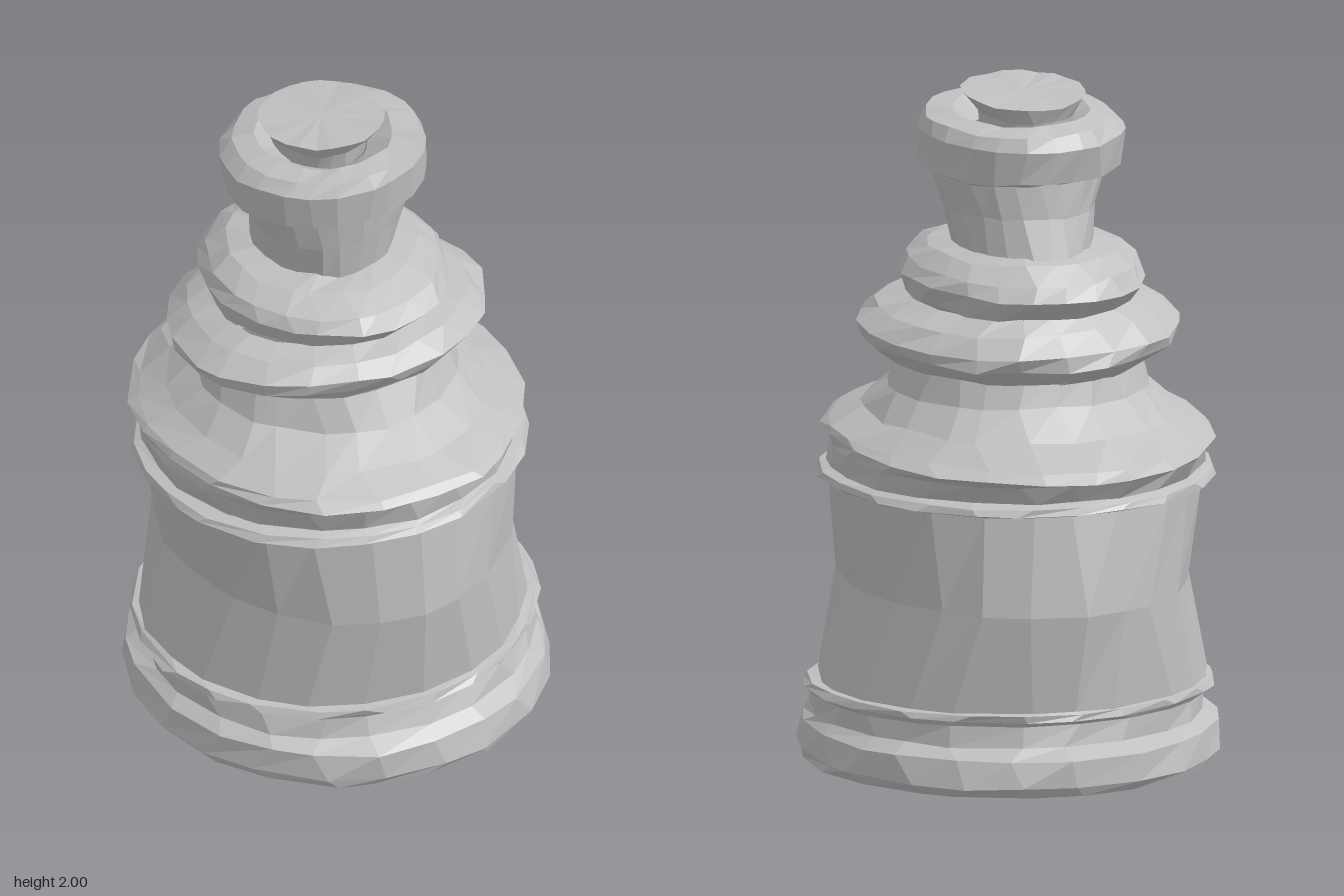
import * as THREE from 'three';

const SIDES = 22;
const stone = new THREE.MeshStandardMaterial({ color: 0xc0c0c0, flatShading: true });
stone.name = 'grey stone';

// repeatable noise in -1..1
const noise = (a, b) => {
  const s = Math.sin(a * 127.1 + b * 311.7) * 43758.5453;
  return 2 * (s - Math.floor(s)) - 1;
};

// Loft through uneven oval rings: [y, left x, right x, back z, front z, forward rise]
function loft(name, rings, rough, capBottom, capTop) {
  const pos = [], index = [];
  for (const [y, x0, x1, z0, z1, rise = 0] of rings) {
    const cx = (x0 + x1) / 2, cz = (z0 + z1) / 2;
    for (let i = 0; i < SIDES; i++) {
      const a = (i + 0.25 * noise(y, i + 50)) / SIDES * Math.PI * 2;
      const k = 1 + rough * noise(y, i);
      const z = Math.cos(a) * (z1 - z0) / 2 * k;
      const lift = rise * z + (y > 0.01 ? rough * 0.25 * noise(i, y) : 0);
      pos.push(cx + Math.sin(a) * (x1 - x0) / 2 * k, Math.min(2, Math.max(0, y + lift)), cz + z);
    }
  }
  for (let r = 0; r < rings.length - 1; r++) {
    for (let i = 0; i < SIDES; i++) {
      const j = (i + 1) % SIDES;
      const a = r * SIDES + i, b = r * SIDES + j, c = a + SIDES, d = b + SIDES;
      index.push(a, b, d, a, d, c);
    }
  }
  const cap = (r, up) => {
    const [y, x0, x1, z0, z1] = rings[r];
    const centre = pos.length / 3;
    pos.push((x0 + x1) / 2, y, (z0 + z1) / 2);
    for (let i = 0; i < SIDES; i++) {
      const a = r * SIDES + i, b = r * SIDES + (i + 1) % SIDES;
      if (up) index.push(centre, a, b);
      else index.push(centre, b, a);
    }
  };
  if (capBottom) cap(0, false);
  if (capTop) cap(rings.length - 1, true);
  const geo = new THREE.BufferGeometry();
  geo.setAttribute('position', new THREE.Float32BufferAttribute(pos, 3));
  geo.setIndex(index);
  geo.computeVertexNormals();
  const mesh = new THREE.Mesh(geo, stone);
  mesh.name = name;
  return mesh;
}

export function createModel() {
  const model = new THREE.Group();
  model.name = 'turnedStonePiece';
  model.add(
    // stepped foot
    loft('foot', [
      [0, -0.60, 0.60, -0.62, 0.63],
      [0.03, -0.62, 0.62, -0.635, 0.64],
      [0.11, -0.62, 0.61, -0.63, 0.63],
      [0.14, -0.58, 0.58, -0.57, 0.58],
      [0.20, -0.58, 0.58, -0.56, 0.55],
    ], 0.015, true, false),
    loft('footLip', [
      [0.20, -0.58, 0.58, -0.56, 0.55],
      [0.215, -0.61, 0.60, -0.575, 0.57],
      [0.235, -0.60, 0.59, -0.57, 0.565],
      [0.24, -0.58, 0.56, -0.56, 0.54],
    ], 0.01),
    // waisted drum
    loft('body', [
      [0.24, -0.58, 0.56, -0.56, 0.54],
      [0.54, -0.52, 0.49, -0.59, 0.58, 0.02],
      [0.83, -0.58, 0.53, -0.54, 0.55, 0.02],
    ], 0.015),
    loft('bodyLip', [
      [0.83, -0.58, 0.53, -0.54, 0.55, 0.02],
      [0.84, -0.61, 0.555, -0.57, 0.58, 0.02],
      [0.86, -0.60, 0.55, -0.56, 0.57, 0.02],
      [0.87, -0.57, 0.52, -0.53, 0.54, 0.02],
    ], 0.01),
    // flared collar and sloping shoulder
    loft('shoulder', [
      [0.87, -0.57, 0.52, -0.53, 0.54, 0.02],
      [0.94, -0.585, 0.53, -0.57, 0.56, 0.04],
      [0.97, -0.59, 0.54, -0.64, 0.625, 0.05],
      [0.99, -0.57, 0.52, -0.60, 0.60, 0.05],
      [1.04, -0.49, 0.43, -0.49, 0.50, 0.03],
      [1.11, -0.41, 0.36, -0.39, 0.38],
      [1.21, -0.38, 0.33, -0.36, 0.33],
    ], 0.02),
    // two swollen rings
    loft('lowerRing', [
      [1.18, -0.36, 0.31, -0.35, 0.30, 0.04],
      [1.21, -0.43, 0.37, -0.38, 0.35, 0.06],
      [1.26, -0.50, 0.43, -0.43, 0.41, 0.08],
      [1.30, -0.52, 0.455, -0.43, 0.43, 0.08],
      [1.35, -0.45, 0.39, -0.39, 0.38, 0.06],
      [1.38, -0.37, 0.30, -0.34, 0.31, 0.03],
    ], 0.025),
    loft('upperRing', [
      [1.37, -0.34, 0.27, -0.32, 0.29, 0.04],
      [1.39, -0.37, 0.30, -0.36, 0.34, 0.06],
      [1.45, -0.39, 0.32, -0.42, 0.40, 0.06],
      [1.49, -0.37, 0.30, -0.38, 0.36, 0.05],
      [1.53, -0.31, 0.24, -0.32, 0.26, 0.03],
      [1.55, -0.21, 0.17, -0.24, 0.18],
    ], 0.025, false, true),
    // neck widening up into the head
    loft('neck', [
      [1.52, -0.23, 0.175, -0.29, 0.19],
      [1.65, -0.25, 0.20, -0.25, 0.205, 0.03],
      [1.77, -0.29, 0.24, -0.24, 0.22, 0.04],
    ], 0.02),
    loft('head', [
      [1.75, -0.27, 0.22, -0.23, 0.21, 0.04],
      [1.77, -0.33, 0.265, -0.29, 0.265, 0.05],
      [1.88, -0.34, 0.265, -0.31, 0.28, 0.08],
      [1.92, -0.30, 0.25, -0.29, 0.26, 0.08],
      [1.93, -0.23, 0.17, -0.23, 0.19, 0.06],
      [1.89, -0.17, 0.10, -0.17, 0.12],
    ], 0.02),
    // flared stopper with a slanted top
    loft('stopper', [
      [1.88, -0.17, 0.09, -0.19, 0.12, 0.06],
      [1.93, -0.18, 0.10, -0.20, 0.13, 0.08],
      [1.982, -0.22, 0.145, -0.215, 0.165, 0.09],
    ], 0.02, false, true),
  );
  return model;
}
